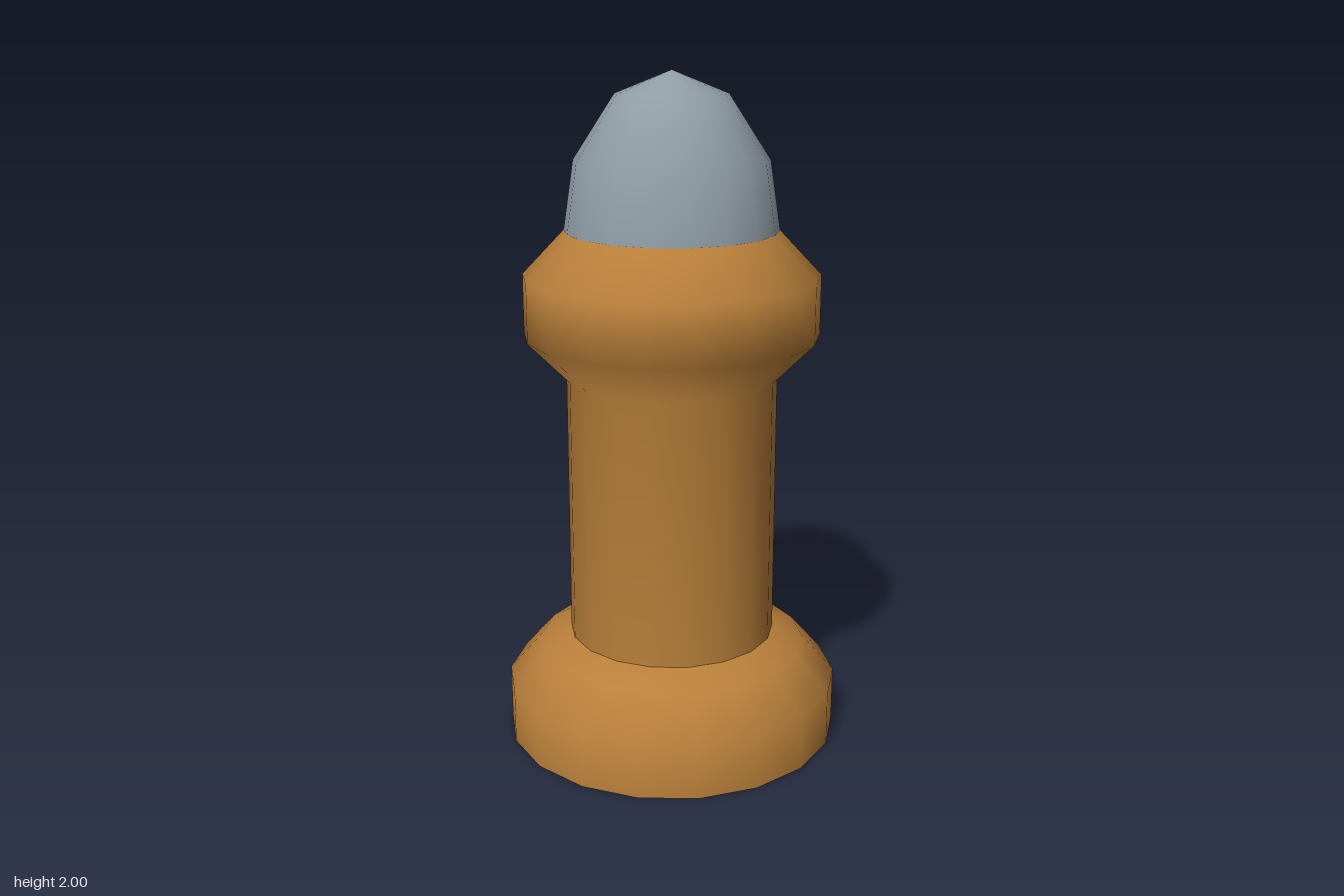
import * as THREE from 'three';

const SIDES = 18;

// Smooth 18-sided turned part from [radius, height] pairs, with a corner on +x
function turned(name, profile, material) {
  const points = profile.map(([r, y]) => new THREE.Vector2(r, y));
  const mesh = new THREE.Mesh(new THREE.LatheGeometry(points, SIDES, Math.PI / 2), material);
  mesh.name = name;
  return mesh;
}

export function createModel() {
  const group = new THREE.Group();
  group.name = 'bollard';

  const orange = new THREE.MeshStandardMaterial({ color: 0xb97f3a, side: THREE.DoubleSide });
  orange.name = 'orange brown';
  const grey = new THREE.MeshStandardMaterial({ color: 0x8e9ca4, side: THREE.DoubleSide });
  grey.name = 'blue grey';

  // Hollow foot, open underneath
  group.add(turned('base', [[0.505, 0], [0.505, 0.165], [0.405, 0.28], [0.312, 0.317]], orange));

  // Shaft flowing into the bulging collar
  group.add(turned('shaftAndCollar', [
    [0.312, 0.317], [0.312, 1.12], [0.435, 1.245], [0.435, 1.42], [0.312, 1.55],
  ], orange));

  // Rounded cap
  group.add(turned('cap', [[0.312, 1.55], [0.282, 1.75], [0.162, 1.935], [0, 2]], grey));

  return group;
}
